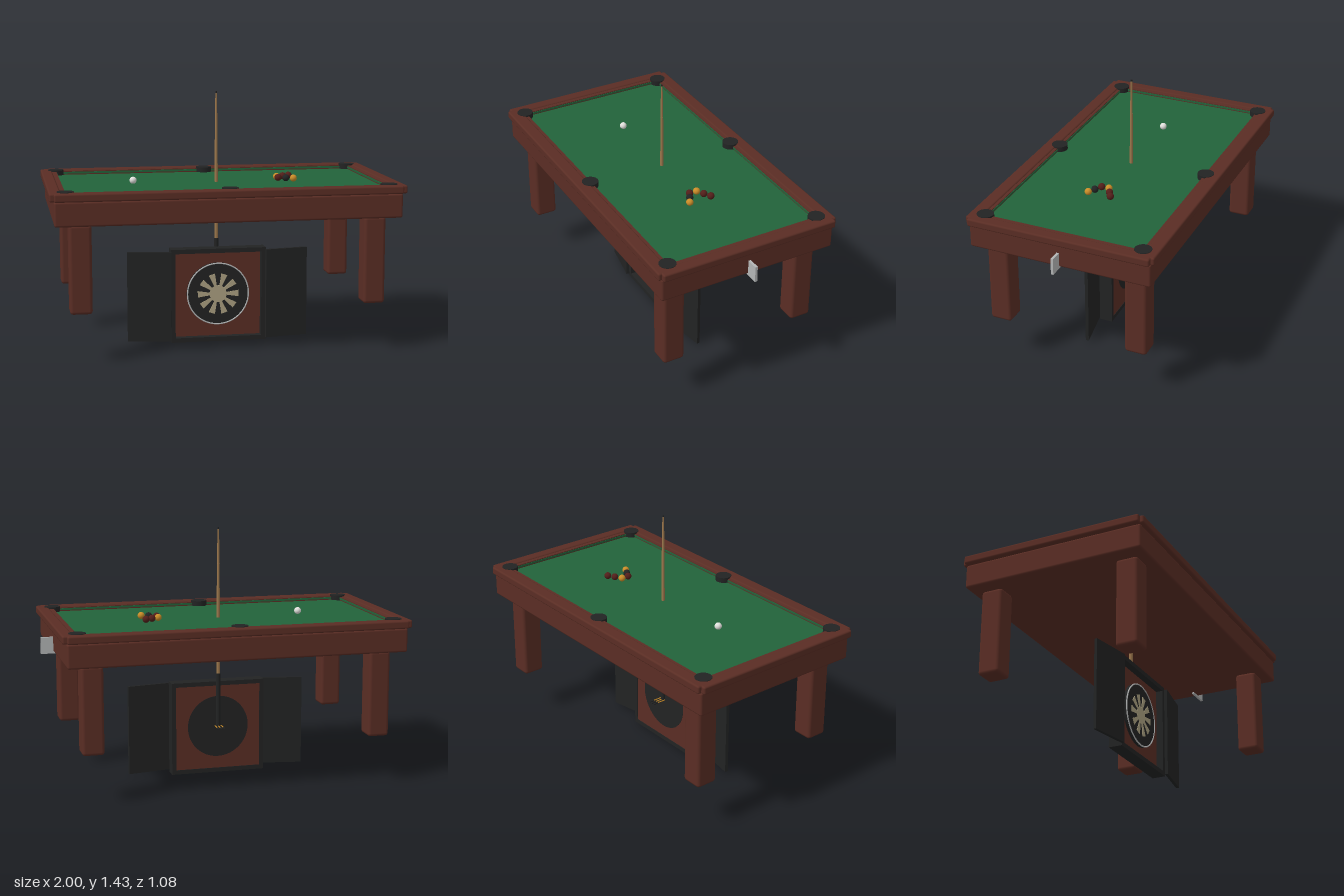
import * as THREE from 'three';
import { RoundedBoxGeometry } from 'three/addons/geometries/RoundedBoxGeometry.js';

const paint = (name, color) => {
  const m = new THREE.MeshStandardMaterial({ color });
  m.name = name;
  return m;
};

export function createModel() {
  const model = new THREE.Group();
  model.name = 'poolTable';
  const brown = paint('mahogany', 0x5a2d24);
  const green = paint('felt', 0x22633a);
  const black = paint('black', 0x222323);
  const beige = paint('beige', 0xada282);
  const yellow = paint('yellow', 0xc98c28);
  const red = paint('darkRed', 0x531f1a);
  const wood = paint('cueWood', 0x9c774c);
  const silver = paint('silver', 0xb4b6b6);
  const white = paint('white', 0xe0e0dc);

  const CX = -0.022; // centre line of table and cabinet

  const add = (name, geo, mat, x = 0, y = 0, z = 0, parent = model) => {
    const mesh = new THREE.Mesh(geo, mat);
    mesh.name = name;
    mesh.position.set(x, y, z);
    parent.add(mesh);
    return mesh;
  };
  const box = (name, mat, w, h, d, x, y, z, parent) =>
    add(name, new THREE.BoxGeometry(w, h, d), mat, x, y, z, parent);
  const rounded = (name, mat, w, h, d, r, x, y, z, parent) =>
    add(name, new RoundedBoxGeometry(w, h, d, 2, r), mat, x, y, z, parent);
  const rod = (name, mat, rTop, rBottom, y0, y1, parent) =>
    add(name, new THREE.CylinderGeometry(rTop, rBottom, y1 - y0, 16), mat, 0, (y0 + y1) / 2, 0, parent);

  // Table body, felt bed, rails and cushions
  const table = new THREE.Group();
  table.name = 'table';
  table.position.x = CX;
  model.add(table);
  rounded('body', brown, 1.905, 0.135, 1.04, 0.012, 0, 0.8325, 0, table);
  box('bed', green, 1.84, 0.025, 0.96, 0, 0.905, 0, table);
  for (const s of [-1, 1]) {
    rounded('longRail', brown, 1.905, 0.045, 0.075, 0.01, 0, 0.9225, s * 0.5015, table);
    rounded('endRail', brown, 0.065, 0.045, 1.04, 0.01, s * 0.945, 0.9225, 0, table);
    box('longCushion', brown, 1.8, 0.024, 0.025, 0, 0.927, s * 0.4595, table);
    box('endCushion', brown, 0.025, 0.024, 0.92, s * 0.8995, 0.927, 0, table);
    box('longCushionFelt', green, 1.76, 0.011, 0.004, 0, 0.929, s * 0.446, table);
    box('endCushionFelt', green, 0.004, 0.011, 0.88, s * 0.886, 0.929, 0, table);
    for (const x of [-0.889, 0, 0.889])
      add('pocket', new THREE.CylinderGeometry(0.046, 0.046, 0.03, 32), black, x, 0.933, s * 0.453, table);
    for (const t of [-1, 1])
      rounded('leg', brown, 0.122, 0.49, 0.125, 0.018, s * 0.813, 0.521, t * 0.402, table);
  }
  box('sidePlate', silver, 0.14, 0.093, 0.014, 0.93, 0.803, 0);

  // Balls
  const ballGeo = new THREE.SphereGeometry(0.02, 24, 16);
  for (const [name, mat, x, z] of [
    ['cueBall', white, -0.5, 0],
    ['yellowBall', yellow, 0.335, -0.022], ['yellowBall', yellow, 0.415, 0.066],
    ['redBall', red, 0.335, 0.022], ['redBall', red, 0.376, -0.044], ['redBall', red, 0.415, -0.066],
    ['blackBall', black, 0.376, 0.044],
  ]) add(name, ballGeo, mat, x, 0.937, z);

  // Cue standing upright through the table
  const cue = new THREE.Group();
  cue.name = 'cue';
  cue.position.x = CX;
  model.add(cue);
  rod('cueGrip', black, 0.012, 0.013, 0.275, 0.59, cue);
  rod('cueButt', wood, 0.008, 0.011, 0.59, 1.23, cue);
  rod('cueShaft', wood, 0.005, 0.007, 1.23, 1.425, cue);
  rod('cueTip', black, 0.005, 0.005, 1.425, 1.435, cue);

  // Dartboard cabinet: back panel, frame and two angled doors
  const cabinet = new THREE.Group();
  cabinet.name = 'dartCabinet';
  cabinet.position.set(CX, 0.271, 0);
  model.add(cabinet);
  box('panel', brown, 0.51, 0.5, 0.035, 0, 0, 0.023, cabinet);
  for (const s of [-1, 1]) {
    box('frameSide', black, 0.025, 0.542, 0.078, s * 0.2625, 0, 0.042, cabinet);
    box('frameBar', black, 0.5, 0.025, 0.078, 0, s * 0.2585, 0.042, cabinet);
    const door = box('door', black, 0.252, 0.518, 0.018, s * 0.398, 0.001, 0.068, cabinet);
    door.rotation.y = s * 0.17;
  }

  // Dartboard disc, wire ring and ten pale segments
  const disc = (name, r, depth, z) => {
    const m = add(name, new THREE.CylinderGeometry(r, r, depth, 48), black, 0, 0.004, z, cabinet);
    m.rotation.x = Math.PI / 2;
  };
  disc('dartboard', 0.18, 0.03, 0.047);
  disc('dartboardBack', 0.18, 0.004, 0.006);
  add('boardRing', new THREE.TorusGeometry(0.178, 0.004, 8, 64), silver, 0, 0.004, 0.062, cabinet);
  const star = new THREE.Shape();
  for (let i = 0; i < 10; i++) {
    const a = (i * Math.PI) / 5, h = Math.PI / 20;
    for (const [r, t] of [[0.05, a - h], [0.12, a - h], [0.12, a + h], [0.05, a + h]]) {
      const x = r * Math.cos(t), y = r * Math.sin(t);
      if (i === 0 && t < 0 && r < 0.1) star.moveTo(x, y);
      else star.lineTo(x, y);
    }
  }
  add('boardSegments', new THREE.ExtrudeGeometry(star, { depth: 0.004, bevelEnabled: false }),
    beige, 0, 0.004, 0.061, cabinet);

  // Three darts behind the cabinet
  for (const x of [-0.018, 0, 0.018]) {
    const dart = new THREE.Group();
    dart.name = 'dart';
    dart.position.set(CX + x, 0.278, 0);
    dart.rotation.x = -Math.PI / 2;
    model.add(dart);
    rod('dartBarrel', yellow, 0.003, 0.003, 0, 0.055, dart);
    rod('dartTail', black, 0.005, 0.004, 0.055, 0.085, dart);
  }
  return model;
}
